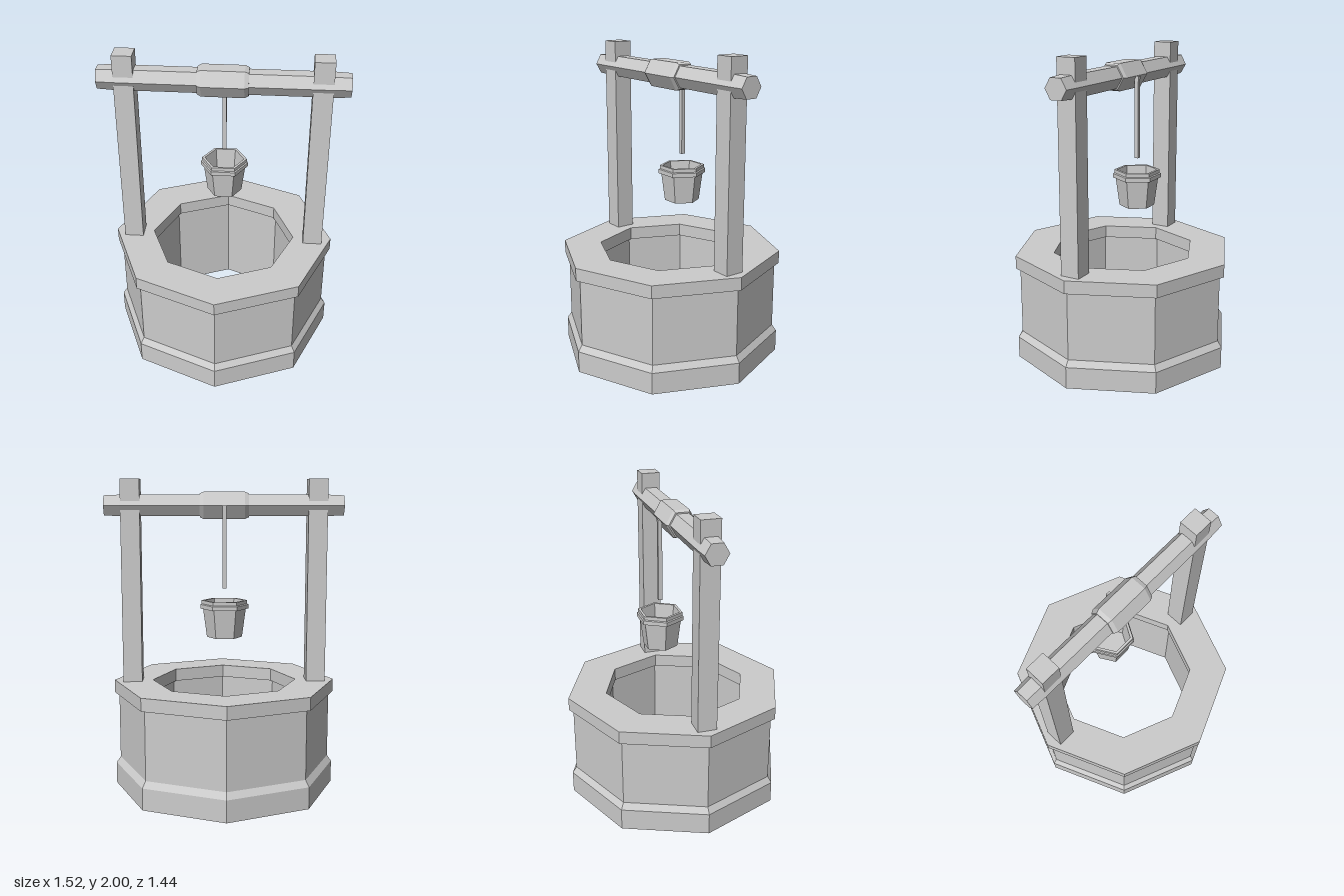
import * as THREE from 'three';

const stone = new THREE.MeshStandardMaterial({ color: 0xcccccc, flatShading: true });
stone.name = 'plain grey';

// Faceted solid of revolution from [radius, y] points, listed up the outside and down the inside
function turned(name, points, sides, phiStart = 0) {
  const profile = points.map(([r, y]) => new THREE.Vector2(r, y));
  const mesh = new THREE.Mesh(new THREE.LatheGeometry(profile, sides, phiStart), stone);
  mesh.name = name;
  return mesh;
}

function box(name, w, h, d, x, y, z) {
  const mesh = new THREE.Mesh(new THREE.BoxGeometry(w, h, d), stone);
  mesh.name = name;
  mesh.position.set(x, y, z);
  return mesh;
}

export function createModel() {
  const model = new THREE.Group();
  model.name = 'well';

  // Octagonal wall, open through the middle, with a flared foot and overhanging rim
  model.add(turned('wellWall', [
    [0.49, 0], [0.718, 0], [0.718, 0.14], [0.69, 0.18], [0.69, 0.62], [0.718, 0.62],
    [0.718, 0.703], [0.468, 0.703], [0.468, 0.62], [0.49, 0.62], [0.49, 0],
  ], 8));

  // Square posts
  for (const side of [-1, 1]) {
    model.add(box(side > 0 ? 'leftPost' : 'rightPost', 0.122, 1.3, 0.122, side * 0.594, 1.35, 0));
  }

  // Hexagonal crossbar, slightly narrowed at its ends
  const bar = turned('crossbar', [
    [0, -0.76], [0.072, -0.76], [0.077, -0.66], [0.077, 0.66], [0.072, 0.76], [0, 0.76],
  ], 6);

  // Bevelled winding drum
  const drum = turned('windingDrum', [
    [0, -0.155], [0.086, -0.155], [0.098, -0.13], [0.098, 0.13], [0.086, 0.155], [0, 0.155],
  ], 6);
  for (const part of [bar, drum]) {
    part.rotation.z = -Math.PI / 2;
    part.position.y = 1.835;
    model.add(part);
  }

  // Rope hanging off the back of the drum
  model.add(box('rope', 0.026, 0.518, 0.026, 0, 1.574, -0.098));

  // Hexagonal bucket with a collar and a hollow inside
  const bucket = turned('bucket', [
    [0, 1.005], [0.112, 1.005], [0.136, 1.185], [0.153, 1.187], [0.153, 1.213],
    [0.145, 1.218], [0.145, 1.24], [0.127, 1.24], [0.107, 1.05], [0, 1.05],
  ], 6, Math.PI / 2);
  bucket.position.z = -0.098;
  model.add(bucket);

  return model;
}
